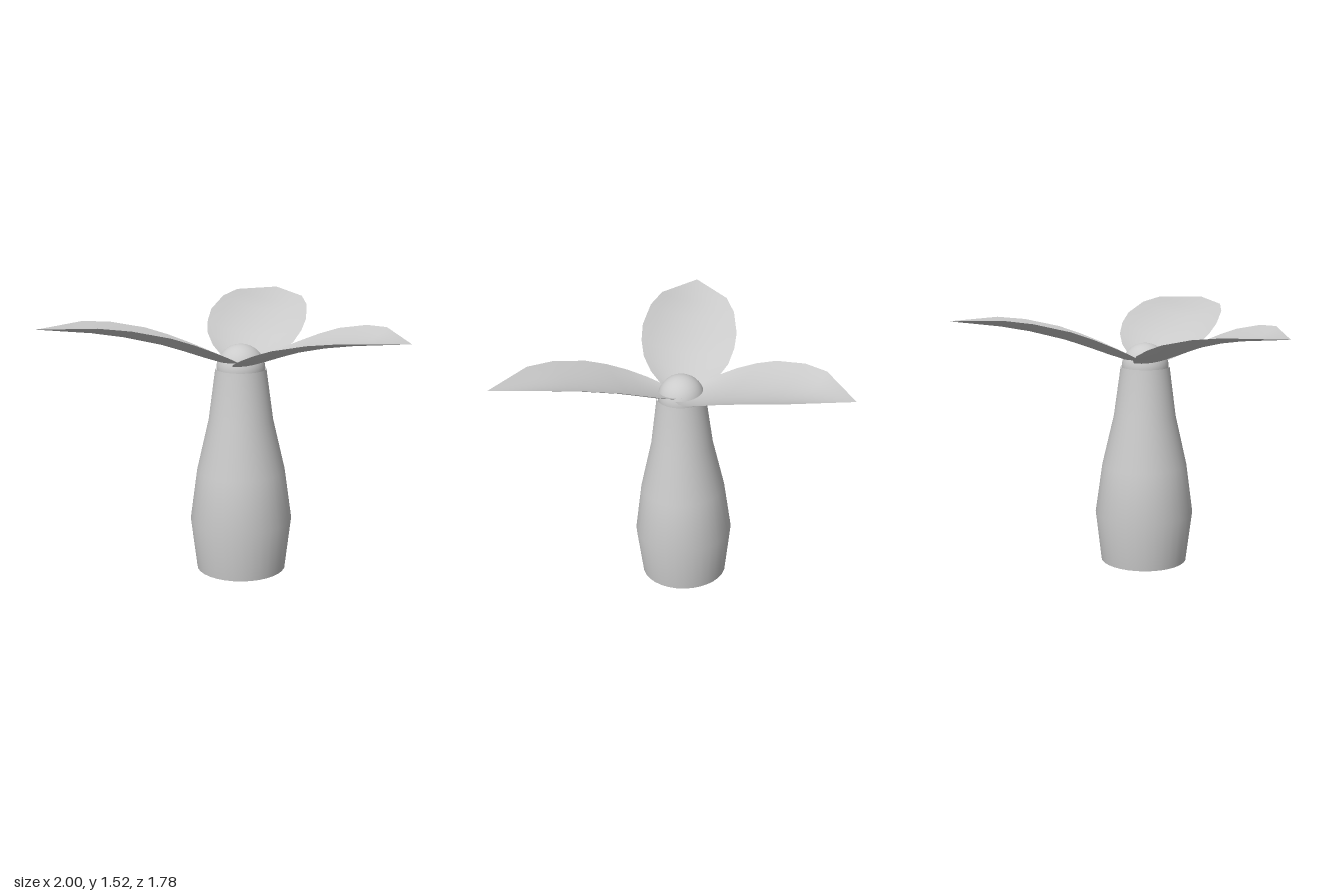
import * as THREE from 'three';

const material = new THREE.MeshStandardMaterial({ color: 0xcccccc });
const leafMaterial = new THREE.MeshStandardMaterial({ color: 0xcccccc, side: THREE.DoubleSide });

// Leaf stations: distance from the trunk axis, half width, midrib height
const STATIONS = [
  [0.05, 0.126, 1.22], [0.13, 0.2, 1.245], [0.23, 0.255, 1.28], [0.35, 0.283, 1.325],
  [0.48, 0.29, 1.37], [0.69, 0.262, 1.425], [0.86, 0.207, 1.457], [1.155, 0, 1.493],
];

// Cupped leaf pointing to -z, with its left edge lifted more than its right
function leafGeometry(across = 10) {
  const positions = [], index = [], row = across + 1;
  STATIONS.forEach(([d, w, y], i) => {
    const k = w / 0.29;
    for (let j = 0; j <= across; j++) {
      const s = (j / across) * 2 - 1;
      positions.push(s * w + 0.01 * k, y + k * (0.062 * s * s - 0.021 * s), -d);
      if (i > 0 && j > 0) {
        const a = (i - 1) * row + j - 1, b = a + 1, c = a + row, e = c + 1;
        index.push(a, b, c);
        if (i < STATIONS.length - 1) index.push(b, e, c); // last row closes to the tip
      }
    }
  });
  const g = new THREE.BufferGeometry();
  g.setAttribute('position', new THREE.Float32BufferAttribute(positions, 3));
  g.setIndex(index);
  g.computeVertexNormals();
  // Share one normal at the tip
  const n = g.attributes.normal, tip = (STATIONS.length - 1) * row;
  for (let j = 0; j < row; j++) n.setXYZ(tip + j, 0, 0.99, 0.12);
  return g;
}

export function createModel() {
  const model = new THREE.Group();
  model.name = 'palmTree';
  const add = (name, geometry, mat = material) => {
    const mesh = new THREE.Mesh(geometry, mat);
    mesh.name = name;
    model.add(mesh);
    return mesh;
  };

  // Trunk with a swollen lower half
  const profile = [[0.26, 0], [0.296, 0.3], [0.255, 0.6], [0.186, 0.9], [0.146, 1.2]];
  add('trunk', new THREE.LatheGeometry(profile.map(([r, y]) => new THREE.Vector2(r, y)), 32));
  add('trunkBase', new THREE.CircleGeometry(0.26, 32).rotateX(Math.PI / 2));

  // Round crown
  add('crown', new THREE.SphereGeometry(0.14, 32, 20)).position.y = 1.2;

  // Three leaves around the crown
  const leaf = leafGeometry();
  for (let i = 0; i < 3; i++) {
    add('leaf' + (i + 1), leaf, leafMaterial).rotation.y = -0.0216 + (i * Math.PI * 2) / 3;
  }

  // Centre the overall bounds
  model.children.forEach((m) => { m.position.x += 0.01; m.position.z += 0.265; });
  return model;
}
